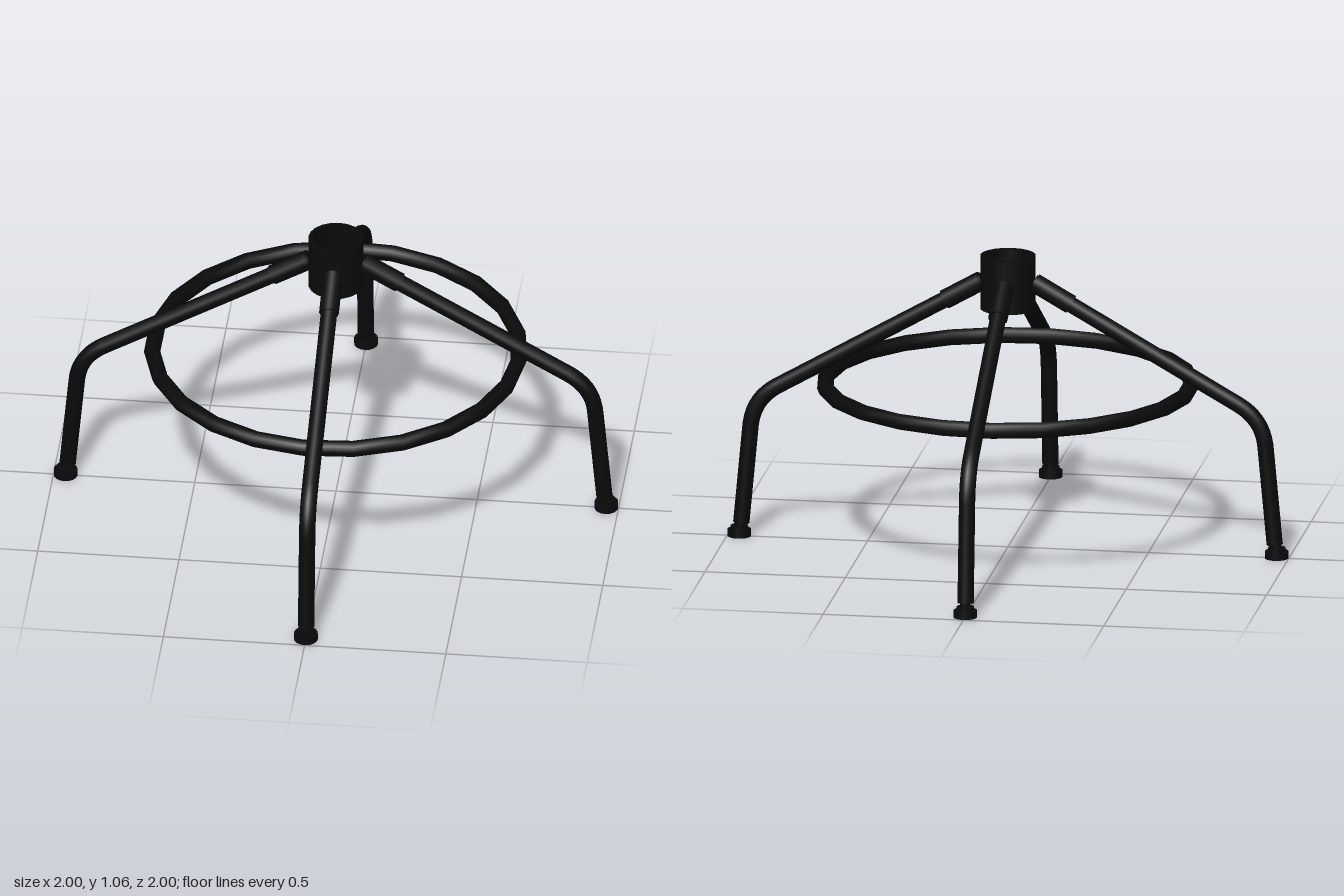
import * as THREE from 'three';

const black = new THREE.MeshStandardMaterial({ color: 0x0a0a0a });
const blackOpen = new THREE.MeshStandardMaterial({ color: 0x0a0a0a, side: THREE.DoubleSide });
const V = (x, y) => new THREE.Vector3(x, y, 0);

function add(parent, name, geometry, material = black) {
  const mesh = new THREE.Mesh(geometry, material);
  mesh.name = name;
  parent.add(mesh);
  return mesh;
}

// Surface of revolution with hard edges between its profile segments
function turned(points, sides) {
  const pts = [];
  for (let i = 0; i < points.length - 1; i++) pts.push(points[i], points[i + 1]);
  return new THREE.LatheGeometry(pts.map(([r, y]) => new THREE.Vector2(r, y)), sides);
}

// One bent tube leg with its sleeve at the hub and its foot glide, along +x
function createLeg() {
  const leg = new THREE.Group();
  const path = new THREE.CurvePath();
  const hubEnd = V(0.09, 0.969), bendIn = V(0.82, 0.553), bendOut = V(0.917, 0.405), footEnd = V(0.95, 0.05);
  path.add(new THREE.LineCurve3(hubEnd, bendIn));
  path.add(new THREE.QuadraticBezierCurve3(bendIn, V(0.907, 0.503), bendOut));
  path.add(new THREE.LineCurve3(bendOut, footEnd));
  add(leg, 'legTube', new THREE.TubeGeometry(path, 64, 0.029, 12, false), blackOpen);

  // Sleeve lies along the sloping part of the tube
  const dir = bendIn.clone().sub(hubEnd).normalize();
  const sleeve = add(leg, 'legSleeve', new THREE.CylinderGeometry(0.035, 0.035, 0.15, 12));
  sleeve.position.copy(hubEnd).addScaledVector(dir, 0.08);
  sleeve.quaternion.setFromUnitVectors(new THREE.Vector3(0, 1, 0), dir);

  // Stepped foot glide with a thin neck
  const foot = add(leg, 'foot', turned(
    [[0, 0], [0.042, 0], [0.042, 0.025], [0.031, 0.025], [0.031, 0.038], [0.018, 0.038], [0.018, 0.058], [0, 0.058]], 16));
  foot.position.x = 0.957;
  return leg;
}

export function createModel() {
  const model = new THREE.Group();
  model.name = 'stoolBase';

  // Hollow hub, open through the middle
  add(model, 'hub', turned(
    [[0.083, 0.87], [0.098, 0.87], [0.098, 1.063], [0.083, 1.063], [0.083, 0.87]], 20));

  // Four legs around the hub
  for (let i = 0; i < 4; i++) {
    const leg = createLeg();
    leg.name = 'leg' + (i + 1);
    leg.rotation.y = i * Math.PI / 2;
    model.add(leg);
  }

  // Foot ring
  const ring = add(model, 'footRing', new THREE.TorusGeometry(0.647, 0.029, 8, 23));
  ring.rotation.x = -Math.PI / 2;
  ring.position.y = 0.597;
  return model;
}
